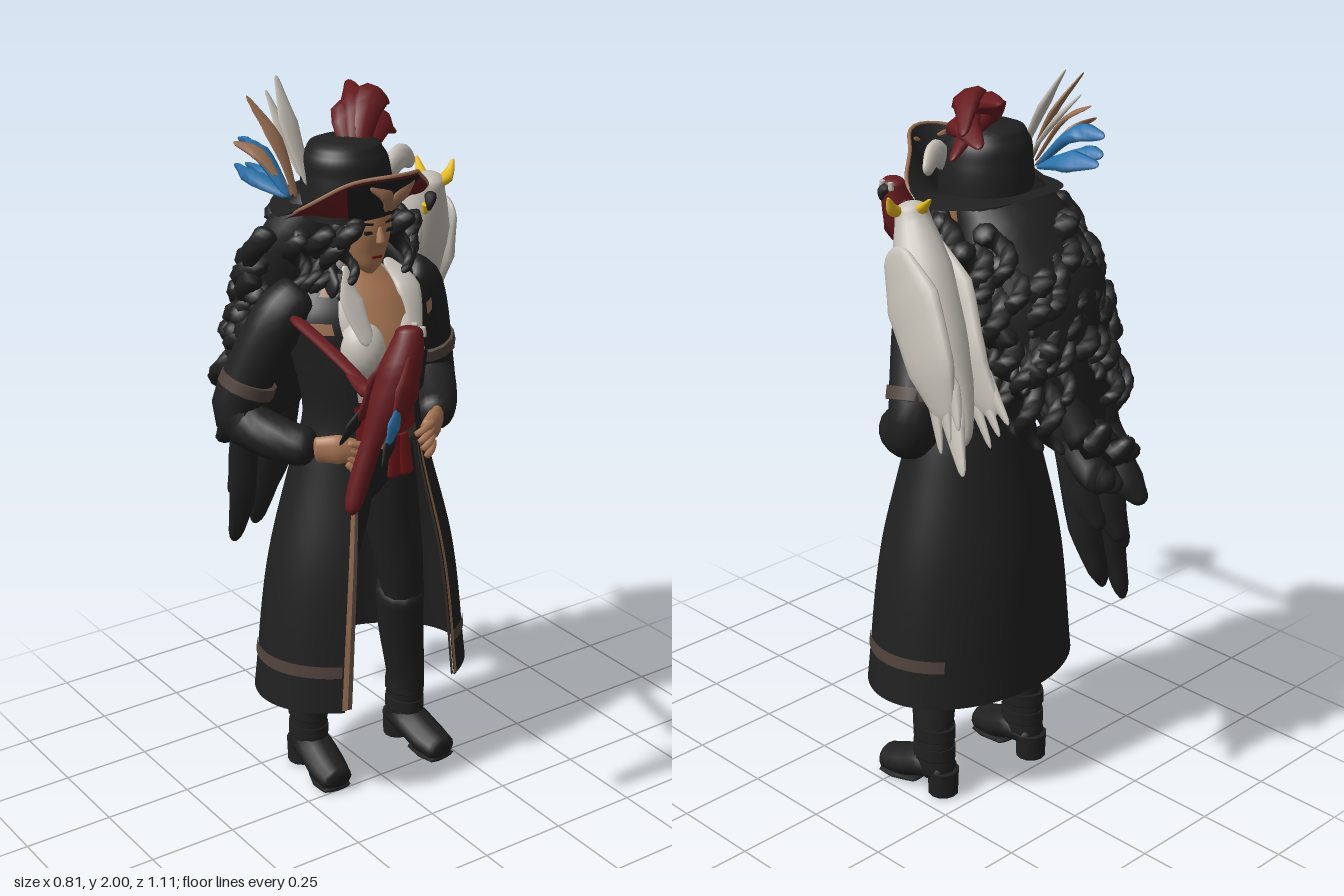
import * as THREE from 'three';
import { mergeVertices } from 'three/addons/utils/BufferGeometryUtils.js';

const paint = (name, color, side = THREE.FrontSide) => {
  const m = new THREE.MeshStandardMaterial({ color, side });
  m.name = name;
  return m;
};

// Smooth surface from a rule f(u, v) -> [x, y, z]
function grid(nu, nv, f) {
  const pos = [], idx = [];
  for (let j = 0; j <= nv; j++) for (let i = 0; i <= nu; i++) pos.push(...f(i / nu, j / nv));
  for (let j = 0; j < nv; j++) for (let i = 0; i < nu; i++) {
    const a = j * (nu + 1) + i, b = a + 1, c = a + nu + 1, d = c + 1;
    idx.push(a, b, d, a, d, c);
  }
  let g = new THREE.BufferGeometry();
  g.setAttribute('position', new THREE.Float32BufferAttribute(pos, 3));
  g.setIndex(idx);
  g = mergeVertices(g, 1e-5);
  g.computeVertexNormals();
  return g;
}

// Tapered tube through [x, y, z, radius] points; its thickness along ref is scaled by flat
function tubeGeo(pts, { flat = 1, ref = [0, 0, 1], nu = 12, nv = 18 } = {}) {
  const curve = new THREE.CatmullRomCurve3(pts.map(p => new THREE.Vector3(p[0], p[1], p[2])));
  const R = new THREE.Vector3(...ref);
  return grid(nu, nv, (u, v) => {
    const t = (1 - Math.cos(Math.PI * v)) / 2, k = t * (pts.length - 1);
    const i = Math.min(Math.floor(k), pts.length - 2);
    const e = Math.min(1, Math.min(t, 1 - t) / 0.07);
    const r = THREE.MathUtils.lerp(pts[i][3], pts[i + 1][3], k - i) * Math.sqrt(1 - (1 - e) ** 2);
    const P = curve.getPoint(t), T = curve.getTangent(t);
    const S = R.clone().cross(T).normalize(), N = T.clone().cross(S);
    const a = u * Math.PI * 2;
    P.addScaledVector(S, r * Math.cos(a)).addScaledVector(N, r * flat * Math.sin(a));
    return [P.x, P.y, P.z];
  });
}

// Garment surface over elliptical rings [y, cx, cz, rx, rz]; angle 0 is the front
function shellGeo(rings, { y0 = rings[0][0], y1 = rings.at(-1)[0], arc = () => [-Math.PI, Math.PI], off = 0, nu = 40, nv = 24 } = {}) {
  const curve = new THREE.CubicInterpolant(rings.map(r => r[0]), rings.flatMap(r => r.slice(1)), 4, new Float32Array(4));
  return grid(nu, nv, (u, v) => {
    const y = y0 + (y1 - y0) * v, [cx, cz, rx, rz] = curve.evaluate(y), [a0, a1] = arc(y);
    const a = a0 + (a1 - a0) * u;
    return [cx + (rx + off) * Math.sin(a), y, cz + (rz + off) * Math.cos(a)];
  });
}

export function createModel() {
  const root = new THREE.Group();
  const black = paint('black cloth', 0x202020, THREE.DoubleSide), red = paint('dark red', 0x661b1f);
  const sashRed = paint('sash red', 0x75171a), white = paint('white', 0xc4bfb6), skin = paint('skin', 0xa87653);
  const gold = paint('bronze trim', 0x9a7053), brown = paint('brown band', 0x50423c);
  const yellow = paint('crest yellow', 0xe6bb22), blue = paint('feather blue', 0x2a72ab);
  const add = (name, mat, geo) => {
    const m = new THREE.Mesh(geo, mat);
    m.name = name;
    root.add(m);
    return m;
  };
  const tube = (name, mat, pts, o) => add(name, mat, tubeGeo(pts, o));
  const shell = (name, mat, rings, o) => add(name, mat, shellGeo(rings, o));
  const box = (name, mat, w, h, d, x, y, z, rz = 0) => {
    const m = add(name, mat, new THREE.BoxGeometry(w, h, d));
    m.position.set(x, y, z);
    m.rotation.z = rz;
  };
  let seed = 7;
  const rnd = () => (seed = (seed * 16807) % 2147483647) / 2147483647;

  // Legs and boots; the right one stands slightly further back
  for (const [m, kx, fx, dz] of [[-1, -0.12, -0.14, -0.025], [1, 0.11, 0.175, 0.01]]) {
    const mx = (kx + fx) / 2;
    tube('trouserLeg', black, [[m * 0.06 - 0.01, 1.02, -0.08, 0.09], [m * 0.08 - 0.01, 0.85, -0.07, 0.086], [kx, 0.6, -0.07 + dz, 0.064], [mx, 0.4, -0.1 + dz, 0.056]]);
    tube('bootShaft', black, [[kx, 0.57, -0.075 + dz, 0.066], [mx, 0.4, -0.115 + dz, 0.062], [fx, 0.2, -0.135 + dz, 0.051], [fx, 0.04, -0.15 + dz, 0.05]], { flat: 1.2 });
    for (const y of [0.13, 0.19]) tube('bootStrap', black, [[fx, y + 0.02, -0.14 + dz, 0.054], [fx, y - 0.02, -0.14 + dz, 0.054]], { flat: 1.2 });
    tube('bootFoot', black, [[fx, 0.07, -0.2 + dz, 0.04], [fx, 0.08, -0.12 + dz, 0.056], [fx + m * 0.008, 0.05, -0.03 + dz, 0.056], [fx + m * 0.015, 0.036, 0.04 + dz, 0.045]], { flat: 0.8, ref: [0, 1, 0] });
    tube('bootHeel', black, [[fx, 0.08, -0.175 + dz, 0.045], [fx, 0, -0.175 + dz, 0.042]]);
    tube('bootSole', black, [[fx, 0.012, -0.09 + dz, 0.034], [fx + m * 0.01, 0.01, -0.02 + dz, 0.05], [fx + m * 0.015, 0.012, 0.035 + dz, 0.044]], { flat: 0.2, ref: [0, 1, 0] });
  }

  // Torso, shirt and waist
  const torso = [[0.85, -0.01, -0.07, 0.03, 0.03], [0.93, -0.01, -0.075, 0.11, 0.085], [1.04, -0.01, -0.07, 0.135, 0.11], [1.16, -0.01, -0.065, 0.12, 0.11],
    [1.33, -0.015, -0.06, 0.14, 0.14], [1.45, -0.02, -0.085, 0.14, 0.11], [1.53, -0.02, -0.1, 0.06, 0.06]];
  shell('hips', black, torso, { y1: 1.1 });
  shell('shirt', white, torso, { y0: 1.09 });
  shell('neckline', skin, torso, { y0: 1.25, y1: 1.53, off: 0.009, arc: y => [-(y - 1.25) * 2.6, (y - 1.25) * 2.6] });
  for (const m of [-1, 1]) {
    const b = add('bust', white, new THREE.SphereGeometry(0.075, 24, 16));
    b.position.set(-0.018 + m * 0.06, 1.33, 0.02);
    b.scale.set(0.92, 1.15, 1);
    tube('shirtCollar', white, [[m * 0.06 - 0.02, 1.54, -0.04, 0.012], [m * 0.09 - 0.02, 1.47, 0.025, 0.036], [m * 0.075 - 0.02, 1.36, 0.085, 0.02]], { flat: 0.25 });
  }
  shell('sash', sashRed, torso, { y0: 1.075, y1: 1.185, off: 0.012 });
  shell('belt', brown, torso, { y0: 1.05, y1: 1.08, off: 0.016 });
  box('beltBuckle', gold, 0.04, 0.03, 0.009, -0.02, 1.065, 0.06);
  for (const [x, r] of [[0.005, -0.1], [0.03, 0.1]]) tube('sashTail', sashRed, [[x, 1.08, 0.06, 0.014], [x + r * 0.1, 0.96, 0.066, 0.022]], { flat: 0.25 });

  // Long open coat with bands and edge trim
  const coat = [[0.32, -0.01, -0.085, 0.325, 0.235], [0.7, -0.01, -0.085, 0.275, 0.21], [1.0, -0.01, -0.085, 0.197, 0.155], [1.12, -0.01, -0.08, 0.165, 0.14],
    [1.3, -0.01, -0.095, 0.19, 0.155], [1.43, -0.01, -0.11, 0.205, 0.135], [1.5, -0.01, -0.12, 0.14, 0.1], [1.55, -0.015, -0.12, 0.085, 0.085]];
  const edge = y => y < 1 ? 0.61 - (y - 0.32) * 0.06 : 0.57 + (y - 1) * 0.35;
  shell('coat', black, coat, { arc: y => [edge(y), Math.PI * 2 - edge(y)], nu: 56, nv: 40 });
  for (const m of [-1, 1]) {
    const span = (lo, hi) => y => m > 0 ? [edge(y) + lo, edge(y) + hi] : [-edge(y) - hi, -edge(y) - lo];
    shell('coatHemBand', brown, coat, { y0: 0.425, y1: 0.46, off: 0.004, arc: span(0.04, 1.65), nv: 2, nu: 30 });
    shell('coatEdgeTrim', gold, coat, { y0: 0.33, y1: 1.03, off: 0.006, arc: span(-0.025, 0.025), nu: 3 });
    shell('coatEdgeFacing', brown, coat, { y0: 0.33, y1: 1.03, off: 0.002, arc: span(-0.065, -0.025), nu: 3 });
    shell('lapel', black, coat, { y0: 1.18, y1: 1.52, off: 0.01, arc: span(-0.08, 0.3), nu: 6 });
    shell('lapelTrim', gold, coat, { y0: 1.38, y1: 1.41, off: 0.014, arc: span(0.02, 0.32), nu: 5, nv: 2 });
    shell('collarTrim', gold, coat, { y0: 1.47, y1: 1.5, off: 0.014, arc: span(0, 0.25), nu: 5, nv: 2 });
    tube('coatCollar', black, [[m * 0.05 - 0.015, 1.52, -0.2, 0.03], [m * 0.1 - 0.015, 1.54, -0.12, 0.045], [m * 0.12 - 0.015, 1.48, -0.01, 0.03]], { flat: 0.35, ref: [m, 0, 0.3] });

    // Arms set on the hips
    const X = x => m * x - 0.015;
    tube('sleeve', black, [[X(0.15), 1.47, -0.11, 0.06], [X(0.21), 1.42, -0.12, 0.075], [X(0.28), 1.27, -0.165, 0.07], [X(0.318), 1.14, -0.19, 0.066],
      [X(0.255), 1.085, -0.08, 0.06], [X(0.19), 1.07, 0.0, 0.05]], { nv: 28, nu: 16 });
    tube('cuffBand', brown, [[X(0.288), 1.24, -0.17, 0.077], [X(0.3), 1.205, -0.177, 0.078]]);
    tube('hand', skin, [[X(0.2), 1.07, 0.0, 0.036], [X(0.155), 1.075, 0.045, 0.042], [X(0.11), 1.07, 0.07, 0.03]], { flat: 0.55 });
    for (let i = 0; i < 4; i++) tube('finger', skin, [[X(0.14), 1.095 - i * 0.018, 0.065, 0.011], [X(0.1 + i * 0.008), 1.085 - i * 0.022, 0.08, 0.011], [X(0.075 + i * 0.012), 1.07 - i * 0.024, 0.072, 0.009]], { nu: 6, nv: 8 });
  }

  // Head and face
  tube('neck', skin, [[-0.02, 1.44, -0.09, 0.055], [-0.02, 1.6, -0.08, 0.042]]);
  shell('head', skin, [[1.515, -0.02, -0.03, 0.012, 0.015], [1.535, -0.02, -0.035, 0.034, 0.035], [1.575, -0.02, -0.05, 0.058, 0.06], [1.64, -0.02, -0.06, 0.074, 0.085], [1.73, -0.02, -0.07, 0.075, 0.085]]);
  tube('nose', skin, [[-0.02, 1.65, 0.018, 0.007], [-0.02, 1.605, 0.03, 0.014]], { nu: 8, nv: 8 });
  box('lips', sashRed, 0.028, 0.007, 0.008, -0.02, 1.566, 0.008);
  for (const m of [-1, 1]) {
    box('eye', black, 0.024, 0.009, 0.008, -0.02 + m * 0.03, 1.637, 0.017);
    box('brow', black, 0.03, 0.006, 0.008, -0.02 + m * 0.03, 1.66, 0.018, m * 0.15);
  }

  // Hair: main mass, hanging tail and curls
  tube('hairMass', black, [[-0.02, 1.72, -0.12, 0.1], [-0.05, 1.58, -0.2, 0.17], [-0.07, 1.42, -0.29, 0.19], [-0.09, 1.22, -0.35, 0.14], [-0.11, 1.02, -0.4, 0.08]], { flat: 0.62, ref: [0, 0.3, 1], nu: 20, nv: 24 });
  for (let i = 0; i < 12; i++) {
    const x = -0.185 + (i % 3) * 0.06, end = 0.6 + i * 0.05, z = -0.495 - 0.2 * Math.min(end - 0.6, 0.3) + (i % 2) * 0.03;
    tube('hairTail', black, [[x + 0.03, 1.3, -0.35, 0.045], [x + 0.02, Math.max(1.08, end), -0.41, 0.055], [x + 0.02, (end + 1) / 2, z + 0.05, 0.05], [x + 0.01, end, z, 0.02]], { flat: 0.75, nu: 8 });
  }
  const curl = (x, y, z, len, back, r) => {
    const ph = rnd() * 6, turn = 7 + rnd() * 4;
    tube('hairCurl', black, Array.from({ length: 12 }, (_, i) => {
      const t = i / 11, a = ph + turn * t;
      return [x + 0.024 * Math.cos(a), y - len * t, z - back * t + 0.024 * Math.sin(a), r * (1 - 0.6 * t)];
    }), { nu: 7, nv: 22, ref: [0, 1, 0] });
  };
  for (let i = 0; i < 46; i++) {
    const a = 1.3 + (i * 2.4) % 3.7, y = 1.64 - rnd() * 0.36, drop = 1.66 - y;
    curl(-0.05 - drop * 0.06 + (0.165 + rnd() * 0.05) * Math.sin(a), y, -0.16 - drop * 0.36 + 0.13 * Math.cos(a), 0.13 + rnd() * 0.12, 0.06, 0.034);
  }
  for (const m of [-1, 1]) for (let i = 0; i < 5; i++)
    curl(-0.01 + m * (0.085 + i * 0.021), 1.67 - i * 0.012, -0.015 - i * 0.025, 0.17 + 0.05 * ((i * 3) % 4) / 3, 0.01, 0.027);

  // Hat: crown and three-cornered brim, turned up to a point in front, red underneath
  shell('hatCrown', black, [[1.66, -0.03, -0.115, 0.125, 0.125], [1.77, -0.03, -0.115, 0.117, 0.117], [1.83, -0.035, -0.115, 0.1, 0.1], [1.858, -0.035, -0.115, 0.06, 0.06], [1.865, -0.035, -0.115, 0, 0]]);
  const brim = (a, s, d = 0) => {
    const c = Math.cos(a), f = Math.max(0, c);
    const k = 0.11 + (0.1 + 0.03 * f ** 6 - 0.045 * (f * Math.sin(2 * a)) ** 2 - 0.02 * Math.max(0, -c)) * s;
    return [-0.025 + k * 1.03 * Math.sin(a), 1.69 - 0.03 * f + d + (0.14 * f ** 1.1 + 0.01) * s ** 1.1 - 0.025 * Math.sin(a) ** 2 * s, -0.115 + k * c];
  };
  add('hatBrimTop', black, grid(56, 8, (u, v) => brim(u * Math.PI * 2, 1 - v, 0.004)));
  add('hatBrimUnderside', red, grid(56, 8, (u, v) => brim(u * Math.PI * 2, v, -0.006)));
  add('hatFrontPanel', black, grid(20, 8, (u, v) => { const p = brim((u - 0.5) * 1.2, v); return [p[0], p[1] - 0.009, p[2] + 0.005]; }));
  tube('hatBrimTrim', gold, Array.from({ length: 17 }, (_, i) => [...brim(-1.3 + i * 0.1625, 1), 0.005]), { nu: 6, nv: 40, ref: [0, 1, 0] });
  for (const m of [-1, 1]) tube('hatOrnament', gold, [[-0.025 + m * 0.065, 1.785, 0.085, 0.014], [-0.025 + m * 0.025, 1.755, 0.097, 0.02], [-0.025, 1.705, 0.068, 0.014]], { flat: 0.4, nu: 8, nv: 10 });

  // Hat feathers
  const feather = (name, mat, a, b, c, r, ref = [0.3, 0.2, 1], flat = 0.3) => tube(name, mat, [[...a, r * 0.4], [...b, r], [...c, r * 0.25]], { flat, ref, nu: 8, nv: 14 });
  for (const [mx, my, ex, ey, ez] of [[0.0, 1.9, 0.13, 1.945, -0.19], [0.07, 1.94, 0.2, 1.89, -0.26], [0.05, 1.87, 0.2, 1.82, -0.22], [0.03, 1.92, 0.1, 1.955, -0.29], [0.09, 1.88, 0.17, 1.86, -0.29]])
    feather('redPlume', red, [-0.04, 1.79, -0.06], [mx, my, -0.15], [ex, ey, ez], 0.048, [0.1, 1, 0.6], 0.55);
  feather('whiteFeather', white, [-0.14, 1.74, -0.12], [-0.15, 1.9, -0.2], [-0.135, 2.0, -0.28], 0.036);
  feather('whiteFeather', white, [-0.14, 1.76, -0.16], [-0.14, 1.87, -0.25], [-0.13, 1.95, -0.34], 0.028);
  feather('bronzeFeather', gold, [-0.18, 1.72, -0.12], [-0.2, 1.86, -0.18], [-0.25, 1.97, -0.24], 0.024);
  feather('bronzeFeather', gold, [-0.18, 1.72, -0.14], [-0.23, 1.82, -0.22], [-0.28, 1.85, -0.26], 0.022);
  feather('bronzeFeather', gold, [-0.16, 1.74, -0.16], [-0.18, 1.86, -0.24], [-0.18, 1.91, -0.33], 0.022);
  for (const [x, y, z] of [[-0.24, 1.77, -0.32], [-0.21, 1.83, -0.35], [-0.19, 1.76, -0.35]])
    feather('blueFeather', blue, [-0.19, 1.72, -0.14], [x, y - 0.01, -0.25], [x, y, z], 0.036, [0.3, 0.2, 1], 0.5);
  tube('whiteFluff', white, [[0.06, 1.76, -0.06, 0.025], [0.11, 1.795, -0.07, 0.035], [0.17, 1.76, -0.1, 0.015]], { flat: 0.6 });

  // White crested bird on the left shoulder
  tube('whiteBirdBody', white, [[0.25, 1.715, -0.13, 0.036], [0.255, 1.66, -0.145, 0.048], [0.28, 1.54, -0.21, 0.082], [0.31, 1.4, -0.29, 0.08], [0.34, 1.27, -0.38, 0.045], [0.37, 1.19, -0.44, 0.018]], { nu: 16, nv: 24 });
  for (const [sx, ex, ez] of [[0.225, 0.28, -0.045], [0.34, 0.39, 0.015]]) {
    tube('whiteBirdWing', white, [[sx, 1.62, -0.16, 0.04], [sx + 0.01, 1.5, -0.24, 0.1], [(sx + ex) / 2 + 0.01, 1.36, -0.33, 0.085], [ex - 0.01, 1.24, -0.4 + ez, 0.03]], { flat: 0.28, ref: [1, 0, 0], nu: 14 });
    for (let i = 0; i < 3; i++) feather('whiteWingFeather', white, [sx + 0.01, 1.45, -0.27], [(sx + ex) / 2, 1.32, -0.32 - i * 0.035], [ex + 0.005, 1.16 + i * 0.04, -0.4 + ez - i * 0.03], 0.036, [1, 0, 0.2], 0.4);
  }
  feather('whiteBirdTail', white, [0.33, 1.35, -0.34], [0.37, 1.25, -0.4], [0.405, 1.13, -0.47], 0.04, [1, 0.3, 0], 0.4);
  tube('whiteBirdBeak', black, [[0.235, 1.665, -0.105, 0.018], [0.222, 1.65, -0.09, 0.014], [0.218, 1.625, -0.09, 0.004]], { nu: 8, nv: 8 });
  for (const [bx, x, z] of [[0.21, 0.27, -0.22], [0.25, 0.335, -0.14]])
    tube('yellowCrest', yellow, [[bx, 1.685, -0.11, 0.014], [(bx + x) / 2 + 0.01, 1.698, z / 2 - 0.055, 0.02], [x, 1.74, z, 0.004]], { flat: 0.8, ref: [0, 1, 0], nu: 8, nv: 12 });
  tube('yellowCheek', yellow, [[0.222, 1.64, -0.11, 0.012], [0.228, 1.61, -0.12, 0.008]], { nu: 8, nv: 8 });

  // Red parrot on a perch reaching forward
  tube('perch', red, [[-0.25, 1.435, -0.04, 0.019], [-0.265, 1.405, 0.16, 0.019], [-0.285, 1.37, 0.36, 0.016], [-0.29, 1.355, 0.45, 0.01]], { flat: 0.55, ref: [0, 1, 0], nu: 10 });
  tube('parrotBody', red, [[-0.24, 1.555, 0.46, 0.03], [-0.245, 1.525, 0.465, 0.037], [-0.265, 1.45, 0.46, 0.052], [-0.295, 1.37, 0.45, 0.045], [-0.335, 1.27, 0.44, 0.026], [-0.365, 1.17, 0.43, 0.026], [-0.39, 1.09, 0.43, 0.02]], { nv: 28 });
  tube('parrotBeak', black, [[-0.22, 1.53, 0.465, 0.018], [-0.203, 1.52, 0.468, 0.014], [-0.2, 1.495, 0.468, 0.004]], { nu: 8, nv: 8 });
  for (const m of [-1, 1]) {
    const z = d => 0.46 + m * d;
    tube('parrotCheek', white, [[-0.213, 1.55, z(0.016), 0.008], [-0.213, 1.525, z(0.02), 0.008]], { nu: 8, nv: 8 });
    feather('parrotWing', red, [-0.25, 1.5, z(0.035)], [-0.285, 1.41, z(0.055)], [-0.34, 1.31, z(0.065)], 0.044, [0.2, 0, 1]);
    feather('parrotWingTip', black, [-0.31, 1.37, z(0.055)], [-0.35, 1.3, z(0.075)], [-0.38, 1.25, z(0.09)], 0.022, [0.2, 0, 1]);
  }
  feather('parrotWingBlue', blue, [-0.31, 1.385, 0.522], [-0.335, 1.345, 0.533], [-0.36, 1.29, 0.54], 0.024, [0.2, 0, 1]);
  feather('parrotFoot', red, [-0.28, 1.38, 0.43], [-0.29, 1.37, 0.36], [-0.29, 1.385, 0.27], 0.03, [0, 1, 0], 0.6);
  return root;
}
